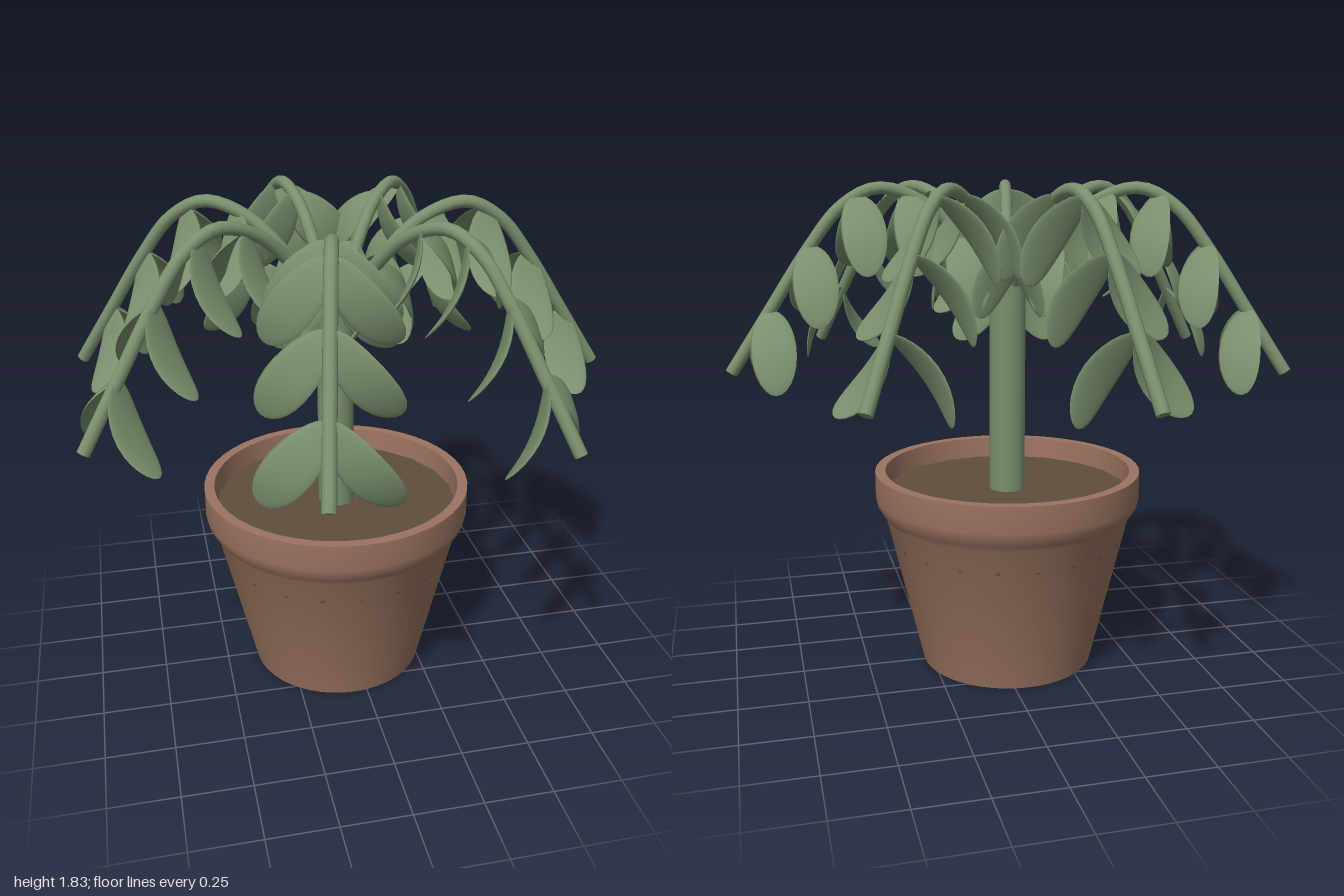
import * as THREE from 'three';
import { toCreasedNormals } from 'three/addons/utils/BufferGeometryUtils.js';

const mat = (name, color) => {
  const m = new THREE.MeshStandardMaterial({ color });
  m.name = name;
  return m;
};

export function createModel() {
  const terracotta = mat('terracotta', 0x9b7460);
  const earth = mat('earth', 0x5e4e3b);
  const green = mat('leafGreen', 0x7a906d);

  const root = new THREE.Group();
  root.name = 'pottedPlant';
  root.position.x = -0.05;
  const add = (parent, name, geo, material) => {
    const mesh = new THREE.Mesh(geo, material);
    mesh.name = name;
    parent.add(mesh);
    return mesh;
  };

  // Tapered pot with a thick collar and an open top
  const profile = [[0, 0], [0.33, 0], [0.467, 0.585], [0.48, 0.605], [0.498, 0.635], [0.503, 0.66],
    [0.503, 0.76], [0.465, 0.76], [0.455, 0.6], [0, 0.6]];
  const potGeo = new THREE.LatheGeometry(profile.map(p => new THREE.Vector2(...p)), 48);
  add(root, 'pot', toCreasedNormals(potGeo, 0.6), terracotta);

  // Soil, whose lower edge just grazes the pot wall
  add(root, 'soil', new THREE.CylinderGeometry(0.459, 0.446, 0.19, 20), earth).position.y = 0.585;

  // Trunk
  add(root, 'trunk', new THREE.CylinderGeometry(0.067, 0.067, 0.8, 24), green).position.y = 1.06;

  // Leaf: flattened oval growing along +y, wider towards the tip, arched in z
  const L = 0.34;
  const leafGeo = new THREE.SphereGeometry(1, 16, 14);
  const pos = leafGeo.attributes.position;
  for (let i = 0; i < pos.count; i++) {
    const v = pos.getY(i);
    pos.setXYZ(i,
      pos.getX(i) * 0.077 * (1 + 0.1 * v),
      (v + 1) * L / 2,
      pos.getZ(i) * 0.01 + 0.04 * (1 - v * v));
  }
  leafGeo.computeVertexNormals();

  // Arching branch in the x-y plane, turned around the trunk seven times
  const arch = new THREE.CatmullRomCurve3([[0, 1.4], [0.14, 1.59], [0.3, 1.75], [0.47, 1.807],
    [0.6, 1.745], [0.72, 1.6], [0.86, 1.39], [1.005, 1.17]].map(([r, y]) => new THREE.Vector3(r, y, 0)));
  const stemGeo = new THREE.TubeGeometry(arch, 40, 0.023, 10);
  const capGeo = new THREE.CircleGeometry(0.023, 10);
  const samples = arch.getSpacedPoints(200);
  const heightAt = r => samples.find(p => p.x >= r).y;
  const up = new THREE.Vector3(0, 1, 0);

  for (let k = 0; k < 7; k++) {
    const a = k * Math.PI * 2 / 7;
    const branch = new THREE.Group();
    branch.name = 'branch' + (k + 1);
    root.add(branch);

    add(branch, 'stem', stemGeo, green).rotation.y = -a;
    const turn = new THREE.Quaternion().setFromAxisAngle(up, -a);
    const tip = add(branch, 'stemTip', capGeo, green);
    tip.position.copy(arch.getPoint(1)).applyQuaternion(turn);
    tip.quaternion.setFromUnitVectors(new THREE.Vector3(0, 0, 1), arch.getTangent(1).applyQuaternion(turn));

    // Drooping leaf pairs
    for (const r of [0.18, 0.36, 0.54, 0.71, 0.86]) {
      for (const side of [-1, 1]) {
        const leaf = add(branch, 'leaf', leafGeo, green);
        leaf.position.set(r * Math.cos(a), heightAt(r), r * Math.sin(a));
        const dir = new THREE.Vector3(-Math.sin(a) * side * 0.64, -0.8, Math.cos(a) * side * 0.64).normalize();
        leaf.quaternion.setFromUnitVectors(up, dir);
      }
    }
  }

  const model = new THREE.Group();
  model.name = 'model';
  model.add(root);
  return model;
}
